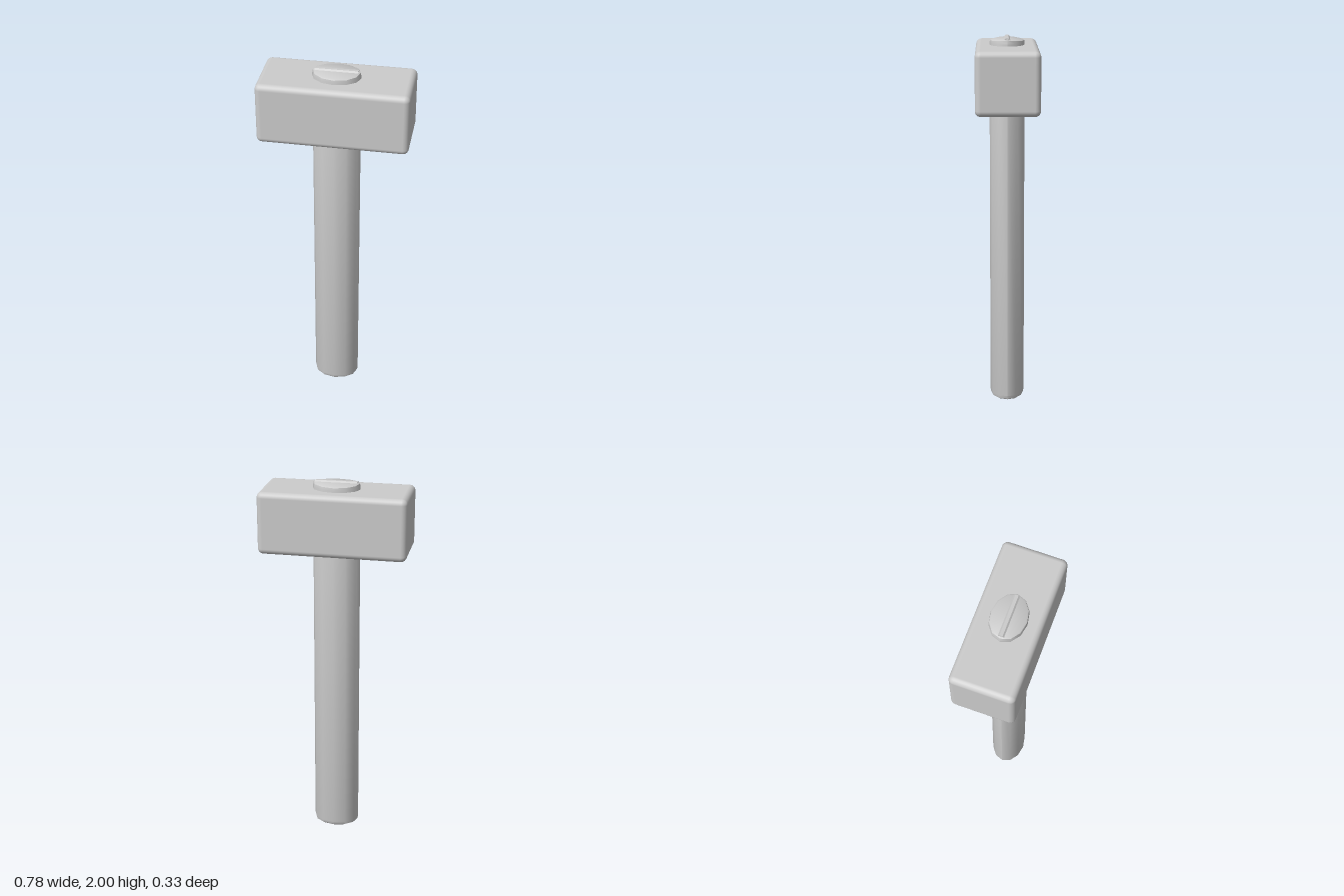
import * as THREE from 'three';
import { RoundedBoxGeometry } from 'three/addons/geometries/RoundedBoxGeometry.js';
import { toCreasedNormals } from 'three/addons/utils/BufferGeometryUtils.js';

const material = new THREE.MeshStandardMaterial({ color: 0xcccccc });

function addPart(group, name, geometry) {
  const mesh = new THREE.Mesh(geometry, material);
  mesh.name = name;
  group.add(mesh);
  return mesh;
}

export function createModel() {
  const hammer = new THREE.Group();
  hammer.name = 'hammer';

  // Block head with softened edges
  const head = addPart(hammer, 'head', new RoundedBoxGeometry(0.78, 0.33, 0.334, 3, 0.03));
  head.position.y = 1.794;

  // Twelve-sided oval handle, bevelled at both ends, passing through the head
  const profile = [
    [0, 0], [0.85, 0.004], [0.96, 0.012], [1, 0.03],
    [1, 1.97], [0.97, 1.982], [0.9, 1.986], [0, 1.986],
  ].map(([r, y]) => new THREE.Vector2(r, y));
  const oval = new THREE.LatheGeometry(profile, 12);
  oval.scale(0.125, 1, 0.093);
  // Top face rises gently toward the wedge line
  const pos = oval.attributes.position;
  for (let i = 0; i < pos.count; i++) {
    if (pos.getY(i) > 1.975) {
      pos.setY(i, pos.getY(i) + 0.008 * (1 - Math.abs(pos.getZ(i)) / 0.093));
    }
  }
  addPart(hammer, 'handle', toCreasedNormals(oval, 0.7));

  // Tapered wedge driven into the handle's top end
  const section = new THREE.Shape([
    [-0.005, 1.9], [0.005, 1.9], [0.016, 1.992], [0.008, 2], [-0.008, 2], [-0.016, 1.992],
  ].map(([z, y]) => new THREE.Vector2(z, y)));
  const wedge = new THREE.ExtrudeGeometry(section, { depth: 0.222, bevelEnabled: false });
  wedge.translate(0, 0, -0.111).rotateY(Math.PI / 2);
  addPart(hammer, 'wedge', wedge);

  return hammer;
}
